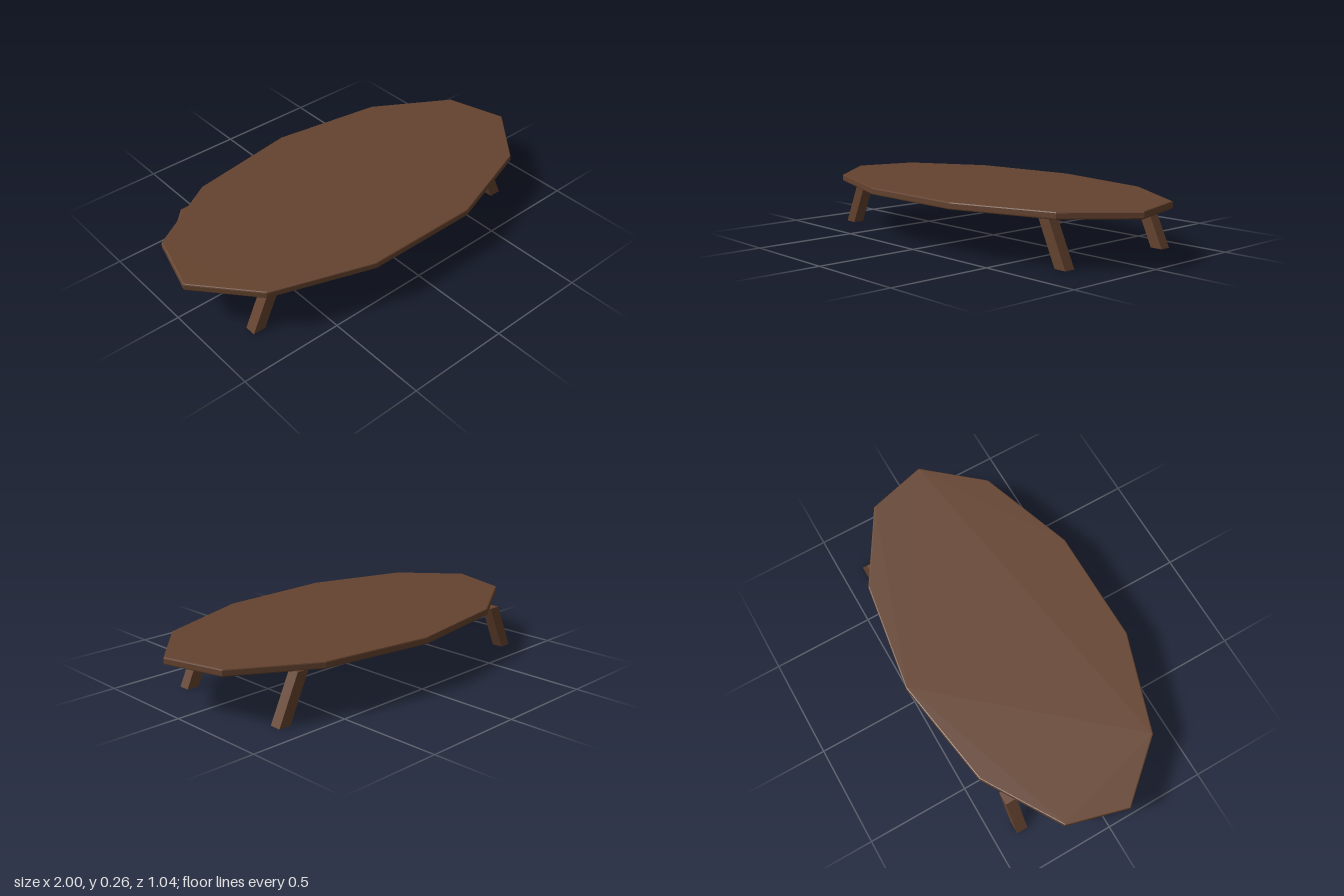
import * as THREE from 'three';

const wood = new THREE.MeshStandardMaterial({ color: 0x64422e, flatShading: true });
wood.name = 'brown wood';

// Eleven-sided oval slab with a softened rim
function makeTop() {
  const sides = 11, rx = 1.01, rz = 0.532, offset = 0.009, bevel = 0.006;
  const points = [];
  for (let i = 0; i < sides; i++) {
    const a = (i / sides) * Math.PI * 2;
    points.push(new THREE.Vector2(-Math.sin(a) * rx, Math.cos(a) * rz - offset));
  }
  const geometry = new THREE.ExtrudeGeometry(new THREE.Shape(points), {
    depth: 0.034 - 2 * bevel, bevelEnabled: true, bevelThickness: bevel,
    bevelSize: bevel, bevelOffset: -bevel, bevelSegments: 2,
  });
  geometry.rotateX(-Math.PI / 2).translate(0, 0.222 + bevel, 0);
  return new THREE.Mesh(geometry, wood);
}

// Slanted leg with level ends: a box sheared outwards towards the floor
function makeLeg(footX, topX, z) {
  const height = 0.225;
  const geometry = new THREE.BoxGeometry(0.062, height, 0.055);
  const p = geometry.attributes.position;
  for (let i = 0; i < p.count; i++) {
    p.setX(i, p.getX(i) + (p.getY(i) > 0 ? topX : footX));
  }
  geometry.translate(0, height / 2, z);
  geometry.computeVertexNormals();
  return new THREE.Mesh(geometry, wood);
}

export function createModel() {
  const table = new THREE.Group();
  table.name = 'table';

  const top = makeTop();
  top.name = 'tabletop';
  table.add(top);

  for (const [end, z] of [['front', 0.277], ['back', -0.362]]) {
    const left = makeLeg(0.739, 0.632, z);
    left.name = end + 'LeftLeg';
    const right = makeLeg(-0.778, -0.671, z);
    right.name = end + 'RightLeg';
    table.add(left, right);
  }
  return table;
}
